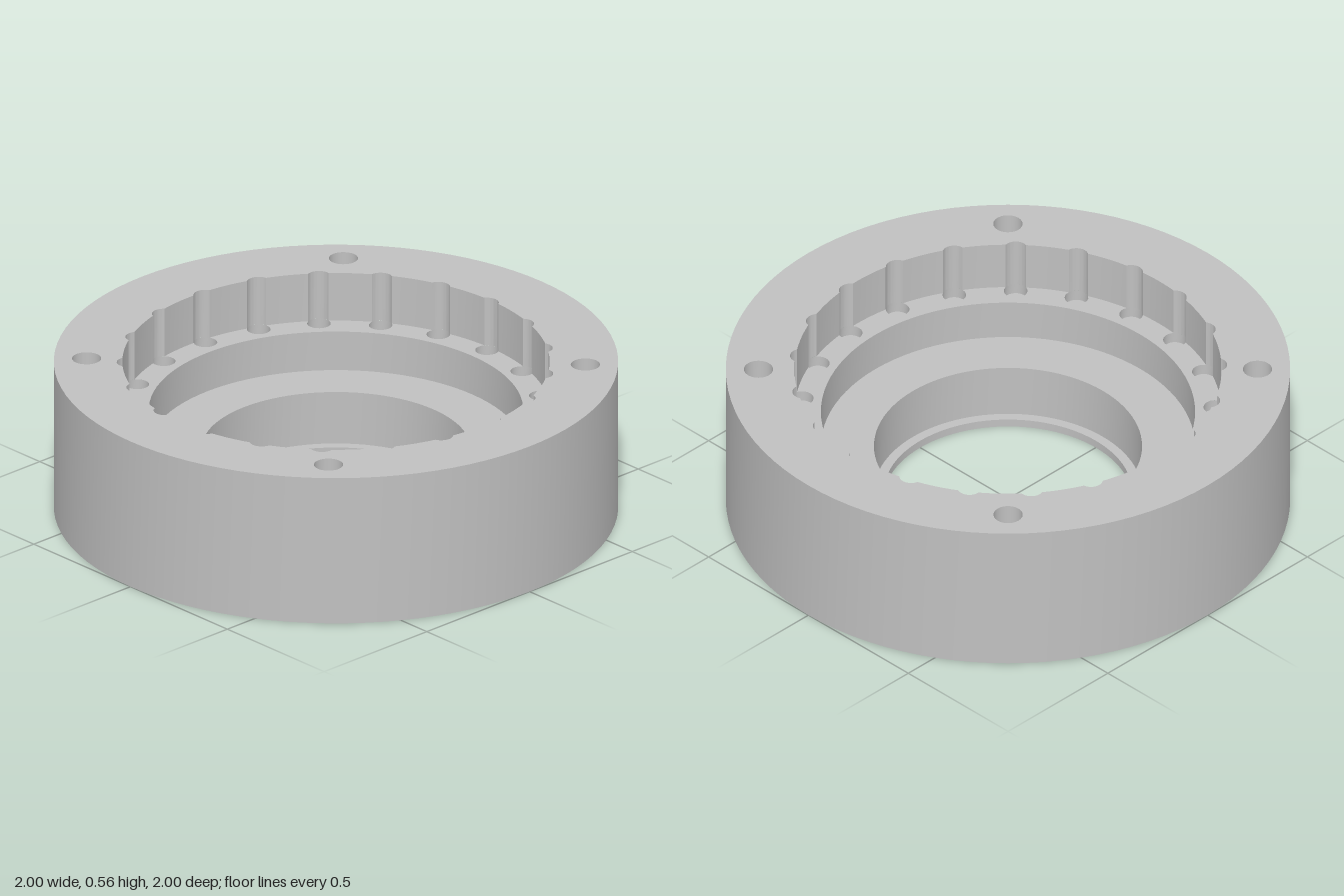
import * as THREE from 'three';
import { toCreasedNormals } from 'three/addons/utils/BufferGeometryUtils.js';

const TOP = 0.565, LEDGE = 0.38, STEP = 0.23, LIP = 0.03;
const BORE = 0.757, POCKET = 0.663, INNER = 0.475, HOLE = 0.44;
const PINS = 21, PIN_D = 0.735, PIN_R = 0.042, PIN_FLOOR = 0.34;
const BOLT_R = 0.052, BLIND_TOP = 0.15;

// points on an arc, end point included
function arc(r, a0, a1, n, cx = 0, cy = 0) {
  return Array.from({ length: n + 1 }, (_, i) => {
    const a = a0 + (a1 - a0) * i / n;
    return new THREE.Vector2(cx + r * Math.cos(a), cy + r * Math.sin(a));
  });
}
const ring = (r, n = 96, cx = 0, cy = 0) => arc(r, 0, Math.PI * 2, n, cx, cy).slice(0, n);

// small circles spaced round the axis
function ringPattern(count, distance, r, start, n = 24) {
  return Array.from({ length: count }, (_, k) => {
    const a = start + k * Math.PI * 2 / count;
    return ring(r, n, distance * Math.cos(a), distance * Math.sin(a));
  });
}

// bore outline where the pin circles cut it: outside or inside part of each circle
function boreOutline(outside) {
  const x = (PIN_D ** 2 + BORE ** 2 - PIN_R ** 2) / (2 * PIN_D);
  const phi = Math.acos(x / BORE);
  const alpha = Math.atan2(BORE * Math.sin(phi), x - PIN_D);
  const step = Math.PI * 2 / PINS, points = [];
  for (let k = 0; k < PINS; k++) {
    const t = k * step;
    const from = outside ? t - alpha : t - alpha + Math.PI * 2;
    points.push(...arc(PIN_R, from, t + alpha, 14, PIN_D * Math.cos(t), PIN_D * Math.sin(t)));
    points.push(...arc(BORE, t + phi, t + step - phi, 6).slice(1, -1));
  }
  return points;
}

// flat face with holes at height y
function plate(outline, holes, y, up = true) {
  const shape = new THREE.Shape(outline);
  shape.holes = holes.map(h => new THREE.Path(h));
  const g = new THREE.ShapeGeometry(shape);
  g.rotateX(up ? -Math.PI / 2 : Math.PI / 2);
  return g.translate(0, y, 0);
}

// upright wall along a closed outline
function wall(outline, y0, y1, outward = false) {
  const pos = [];
  outline.forEach((p, i) => {
    const q = outline[(i + 1) % outline.length];
    const [a, b] = outward ? [p, q] : [q, p];
    pos.push(a.x, y0, -a.y, b.x, y0, -b.y, b.x, y1, -b.y);
    pos.push(a.x, y0, -a.y, b.x, y1, -b.y, a.x, y1, -a.y);
  });
  const g = new THREE.BufferGeometry();
  g.setAttribute('position', new THREE.Float32BufferAttribute(pos, 3));
  g.computeVertexNormals();
  return toCreasedNormals(g, Math.PI / 6);
}

export function createModel() {
  const group = new THREE.Group();
  group.name = 'pinRingHousing';
  const metal = new THREE.MeshStandardMaterial({ color: 0xc0c0c0 });
  metal.name = 'grey metal';
  const add = (name, geometry) => {
    const mesh = new THREE.Mesh(geometry, metal);
    mesh.name = name;
    group.add(mesh);
  };

  const rim = ring(1), pocket = ring(POCKET), inner = ring(INNER), hole = ring(HOLE);
  const bolts = ringPattern(4, 0.884, BOLT_R, Math.PI / 4);
  const blinds = ringPattern(4, 0.635, 0.055, 0);
  const pins = ringPattern(PINS, PIN_D, PIN_R, 0);
  const notched = boreOutline(true);

  // outer body
  add('outerWall', wall(rim, 0, TOP, true));
  add('topFace', plate(rim, [notched, ...bolts], TOP));
  add('bottomFace', plate(rim, [hole, ...bolts, ...blinds], 0, false));

  // stepped bore
  add('notchedBoreWall', wall(notched, LEDGE, TOP));
  add('pinLedge', plate(boreOutline(false), [pocket], LEDGE));
  add('pocketWall', wall(pocket, STEP, LEDGE));
  add('pocketFloor', plate(pocket, [inner], STEP));
  add('innerWall', wall(inner, LIP, STEP));
  add('lipFace', plate(inner, [hole], LIP));
  add('lipWall', wall(hole, 0, LIP));

  // pin seats sunk into the ledge
  for (const p of pins) {
    add('pinSeatWall', wall(p, PIN_FLOOR, LEDGE));
    add('pinSeatFloor', plate(p, [], PIN_FLOOR));
  }

  // through holes and blind holes
  for (const b of bolts) add('boltHole', wall(b, 0, TOP));
  for (const b of blinds) {
    add('blindHoleWall', wall(b, 0, BLIND_TOP));
    add('blindHoleEnd', plate(b, [], BLIND_TOP, false));
  }
  return group;
}
